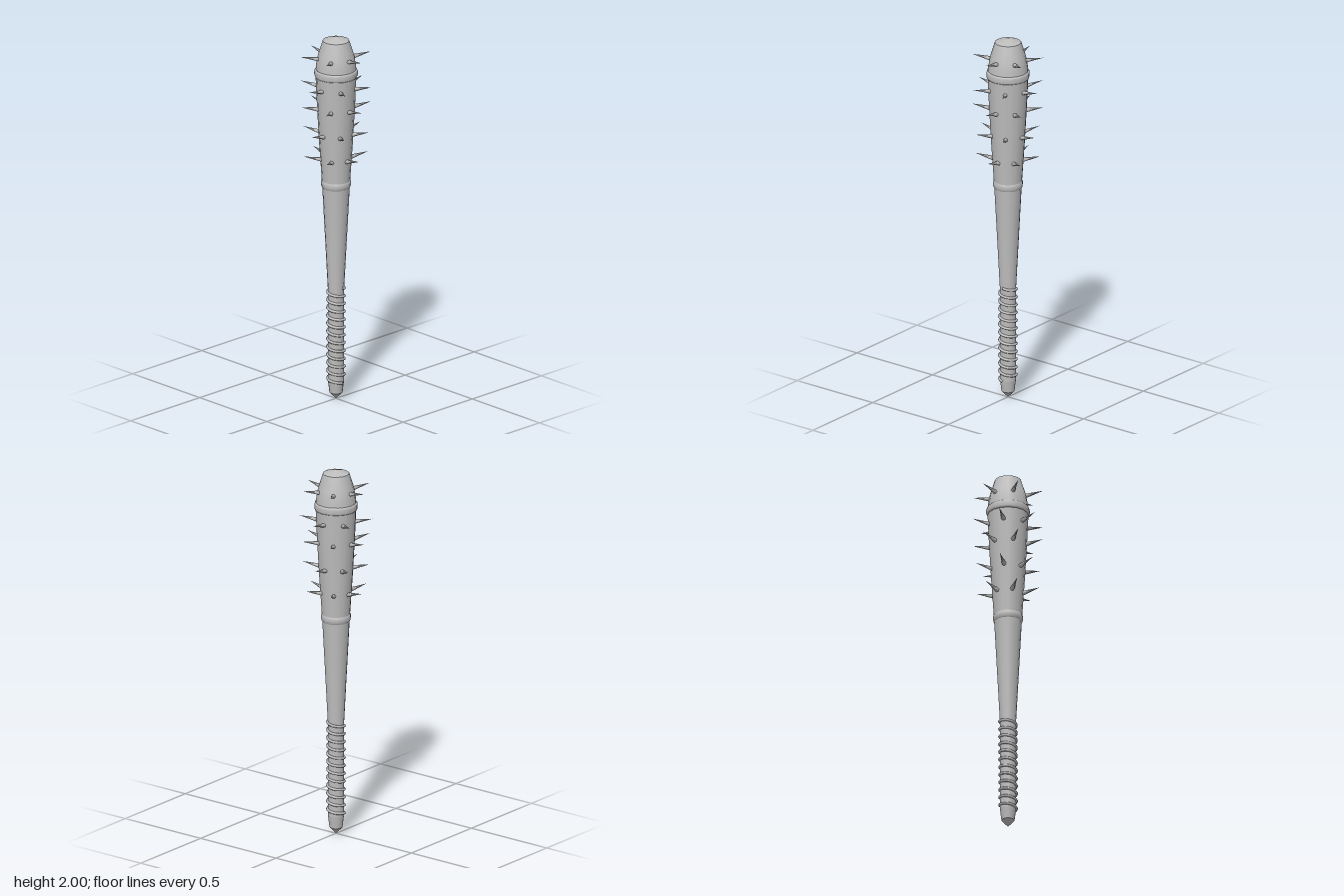
import * as THREE from 'three';

export function createModel() {
  const model = new THREE.Group();
  const grey = new THREE.MeshStandardMaterial({ color: 0xbdbdbd });
  grey.name = 'plain grey';

  const add = (name, geometry, parent = model) => {
    const mesh = new THREE.Mesh(geometry, grey);
    mesh.name = name;
    parent.add(mesh);
    return mesh;
  };
  // profile points are [radius, height], bottom to top
  const lathe = (name, points) =>
    add(name, new THREE.LatheGeometry(points.map(([r, y]) => new THREE.Vector2(r, y)), 16));

  // turned body, split where the edges are sharp
  lathe('pommelTip', [[0, 0], [0.034, 0.036]]);
  lathe('pommel', [[0.034, 0.036], [0.042, 0.1]]);
  const shaft = [[0.042, 0.1], [0.042, 0.6], [0.072, 1.18], [0.088, 1.42], [0.099, 1.62], [0.107, 1.8]];
  lathe('shaft', shaft);
  lathe('shoulder', [[0.107, 1.8], [0.103, 1.85], [0.094, 1.9], [0.069, 1.98]]);
  lathe('crown', [[0.069, 1.98], [0, 2]]);

  // raised bands
  lathe('lowerBand', [[0.07, 1.168], [0.076, 1.175], [0.078, 1.19], [0.077, 1.205], [0.07, 1.214]]);
  lathe('upperBand', [[0.1, 1.779], [0.11, 1.783], [0.113, 1.792], [0.113, 1.812], [0.11, 1.821], [0.1, 1.825]]);

  // cord wound around the grip
  class Helix extends THREE.Curve {
    getPoint(t, target = new THREE.Vector3()) {
      const a = t * 12 * Math.PI * 2;
      return target.set(Math.cos(a) * 0.044, 0.097 + t * 0.521, Math.sin(a) * 0.044);
    }
  }
  add('gripCord', new THREE.TubeGeometry(new Helix(), 240, 0.0075, 6, false));

  // five staggered rings of six spikes: base height, base radius, tip height, tip radius, offset
  const rows = [
    [1.327, 0.072, 1.352, 0.171, 0],
    [1.465, 0.081, 1.488, 0.177, Math.PI / 6],
    [1.605, 0.088, 1.626, 0.187, 0],
    [1.719, 0.094, 1.739, 0.193, Math.PI / 6],
    [1.882, 0.084, 1.903, 0.187, 0],
  ];
  const up = new THREE.Vector3(0, 1, 0);
  const spikes = new THREE.Group();
  spikes.name = 'spikes';
  model.add(spikes);
  for (const [y0, r0, y1, r1, offset] of rows) {
    for (let i = 0; i < 6; i++) {
      const a = offset + (i * Math.PI) / 3;
      const base = new THREE.Vector3(Math.cos(a) * r0, y0, Math.sin(a) * r0);
      const tip = new THREE.Vector3(Math.cos(a) * r1, y1, Math.sin(a) * r1);
      const direction = tip.clone().sub(base);
      const spike = add('spike', new THREE.ConeGeometry(0.013, direction.length(), 6), spikes);
      spike.position.copy(base).add(tip).multiplyScalar(0.5);
      spike.quaternion.setFromUnitVectors(up, direction.normalize());
    }
  }
  return model;
}
